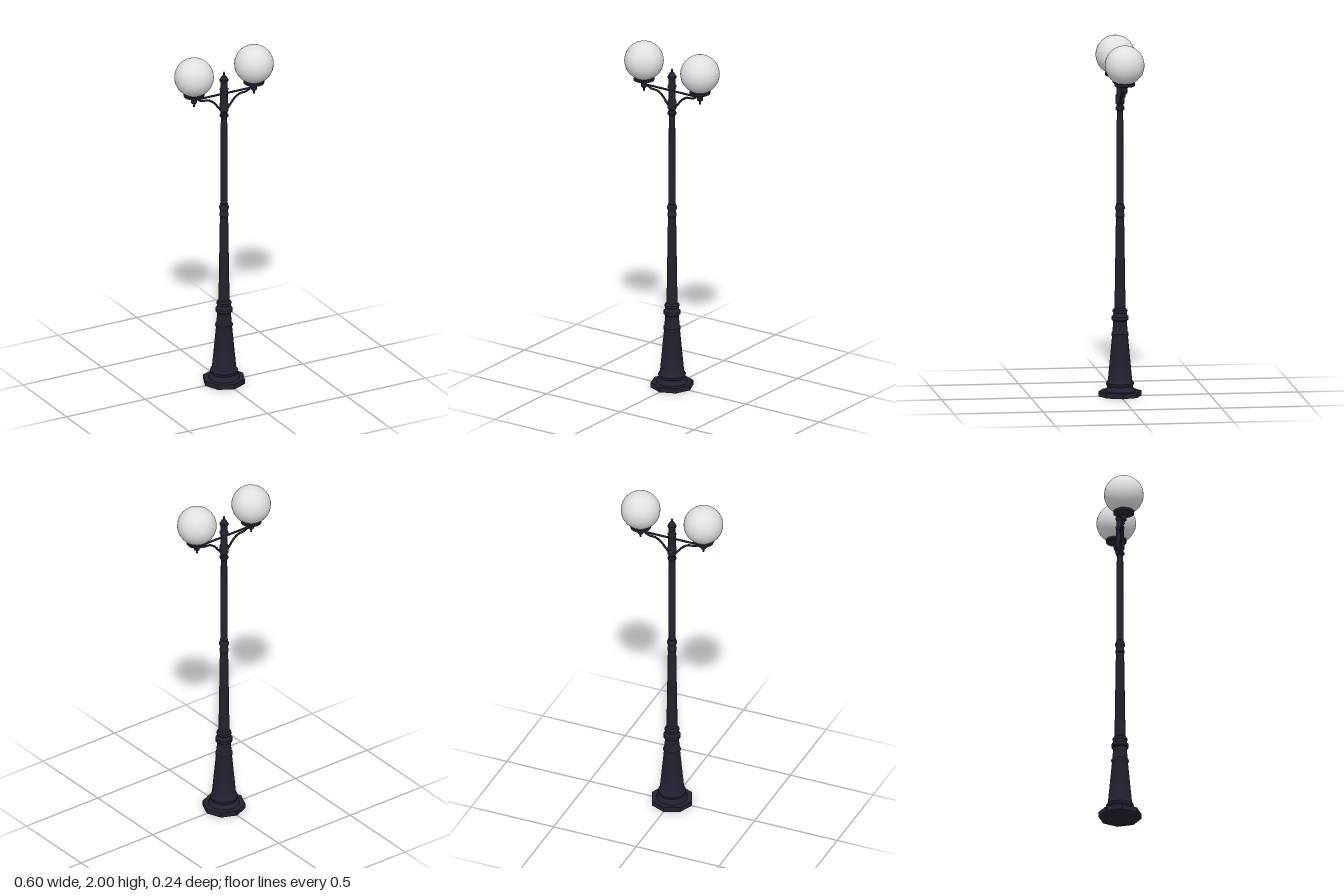
import * as THREE from 'three';
import { toCreasedNormals } from 'three/addons/utils/BufferGeometryUtils.js';

const iron = new THREE.MeshStandardMaterial({ color: 0x222230 });
iron.name = 'darkIron';
const glass = new THREE.MeshStandardMaterial({ color: 0xe0e0e0 });
glass.name = 'frostedGlass';

function add(parent, name, geometry, material = iron) {
  const mesh = new THREE.Mesh(geometry, material);
  mesh.name = name;
  parent.add(mesh);
  return mesh;
}

// Turned part from [radius, height] pairs, bottom to top
function turned(profile, sides = 16) {
  const points = profile.map(([r, y]) => new THREE.Vector2(r, y));
  return toCreasedNormals(new THREE.LatheGeometry(points, sides), 0.6);
}

// One arm with its lamp, reaching towards +x
function createArm(name) {
  const arm = new THREE.Group();
  arm.name = name;

  const bar = add(arm, 'crossBar', new THREE.CylinderGeometry(0.006, 0.006, 0.18, 8));
  bar.rotation.z = Math.PI / 2;
  bar.position.set(0.1, 1.75, 0);

  const curve = new THREE.CatmullRomCurve3([
    [0.012, 1.648], [0.035, 1.672], [0.065, 1.708], [0.1, 1.73], [0.14, 1.734], [0.165, 1.747],
  ].map(([x, y]) => new THREE.Vector3(x, y, 0)));
  add(arm, 'curvedBrace', new THREE.TubeGeometry(curve, 20, 0.006, 8));

  const lamp = new THREE.Group();
  lamp.name = 'lamp';
  lamp.position.x = 0.19;
  arm.add(lamp);
  add(lamp, 'lampHolder', turned([
    [0, 1.708], [0.005, 1.711], [0.006, 1.717], [0.004, 1.723], [0.009, 1.729],
    [0.016, 1.735], [0.017, 1.758], [0.012, 1.763], [0.022, 1.768], [0.05, 1.771],
    [0.058, 1.775], [0.058, 1.789], [0.05, 1.791], [0, 1.791],
  ]));
  add(lamp, 'globe', new THREE.SphereGeometry(0.11, 32, 20), glass).position.y = 1.89;
  return arm;
}

export function createModel() {
  const model = new THREE.Group();
  model.name = 'streetLamp';

  // Octagonal foot with corners on the axes
  add(model, 'foot', new THREE.CylinderGeometry(0.12, 0.12, 0.029, 8).toNonIndexed())
    .position.y = 0.0145;
  model.children[0].geometry = toCreasedNormals(model.children[0].geometry, 0.3);

  // Tapered pedestal with mouldings
  add(model, 'pedestal', turned([
    [0.088, 0.028], [0.086, 0.036], [0.075, 0.046], [0.071, 0.056], [0.077, 0.064],
    [0.078, 0.074], [0.072, 0.084], [0.068, 0.09], [0.045, 0.335], [0.049, 0.343],
    [0.049, 0.353], [0.043, 0.361], [0.039, 0.41], [0.041, 0.425], [0.048, 0.431],
    [0.048, 0.448], [0.041, 0.455], [0.037, 0.468], [0.041, 0.474], [0.041, 0.486],
    [0.031, 0.496],
  ]));

  // Lower and upper shafts, joined by a ringed collar
  add(model, 'lowerShaft', turned([[0.031, 0.494], [0.023, 1.01]]));
  add(model, 'middleCollar', turned([
    [0.022, 1.005], [0.026, 1.01], [0.026, 1.022], [0.023, 1.028], [0.023, 1.046],
    [0.027, 1.052], [0.027, 1.066], [0.023, 1.073], [0.023, 1.08], [0.019, 1.084],
  ]));
  add(model, 'upperShaft', turned([[0.02, 1.08], [0.018, 1.615]]));

  // Capital carrying the arms, and its pointed finial
  add(model, 'capital', turned([
    [0.018, 1.605], [0.024, 1.612], [0.024, 1.624], [0.019, 1.63], [0.019, 1.64],
    [0.025, 1.648], [0.025, 1.69], [0.021, 1.698], [0.021, 1.765], [0.024, 1.772],
    [0.024, 1.782], [0.02, 1.788], [0.02, 1.82], [0.024, 1.826], [0.024, 1.838],
    [0.018, 1.845],
  ]));
  add(model, 'finial', turned([
    [0.019, 1.842], [0.016, 1.852], [0.008, 1.862], [0.004, 1.866], [0.007, 1.872],
    [0.004, 1.878], [0, 1.885],
  ], 12));

  // Mirrored pair of arms
  const left = createArm('leftArm');
  const right = createArm('rightArm');
  right.rotation.y = Math.PI;
  model.add(left, right);
  return model;
}
